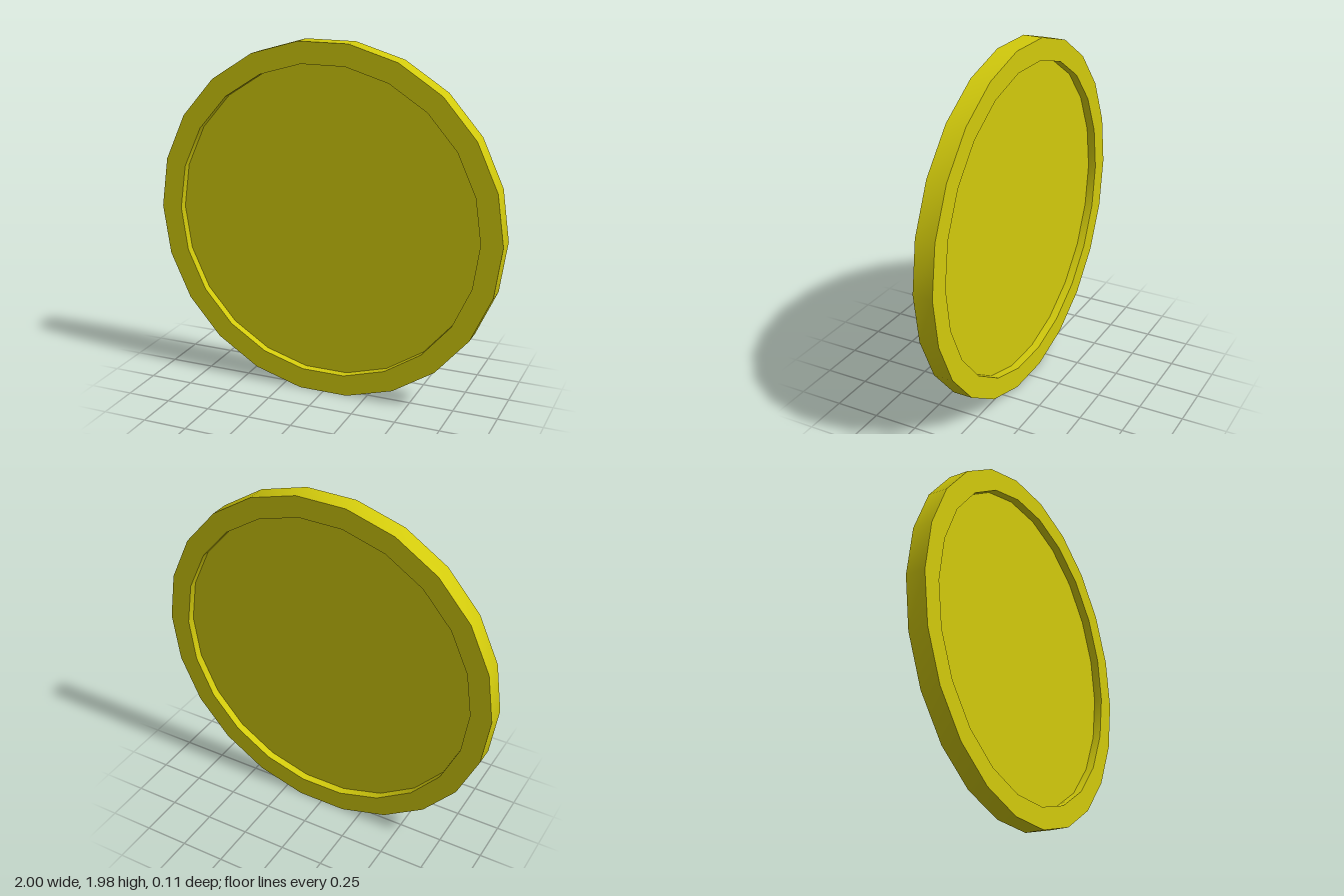
import * as THREE from 'three';
import { toCreasedNormals } from 'three/addons/utils/BufferGeometryUtils.js';

const SIDES = 22;
const OUTER = 1, INNER = 0.88;   // rim radii
const HALF = 0.055;              // half the rim thickness
const FLOOR = 0.009;             // half the thickness of the recessed centre

export function createModel() {
  const model = new THREE.Group();
  model.name = 'coin';
  const material = new THREE.MeshStandardMaterial({ color: 0xd2ca0c });

  const add = (name, geometry) => {
    geometry.rotateX(Math.PI / 2); // stand the disc upright, facing +z
    const mesh = new THREE.Mesh(geometry, material);
    mesh.name = name;
    mesh.position.y = OUTER * Math.cos(Math.PI / SIDES); // rests on a flat side
    model.add(mesh);
  };

  // Raised rim: rectangular section with an open inner wall on both faces
  const section = [
    [INNER, -FLOOR], [INNER, -HALF], [OUTER, -HALF],
    [OUTER, HALF], [INNER, HALF], [INNER, FLOOR],
  ].map(([r, y]) => new THREE.Vector2(r, y));
  const rim = new THREE.LatheGeometry(section, SIDES, Math.PI / 2);
  add('rim', toCreasedNormals(rim, 0.6));

  // Recessed centre, visible from front and back
  add('centreDisc', new THREE.CylinderGeometry(INNER, INNER, FLOOR * 2, SIDES, 1, false, Math.PI / 2));

  return model;
}
